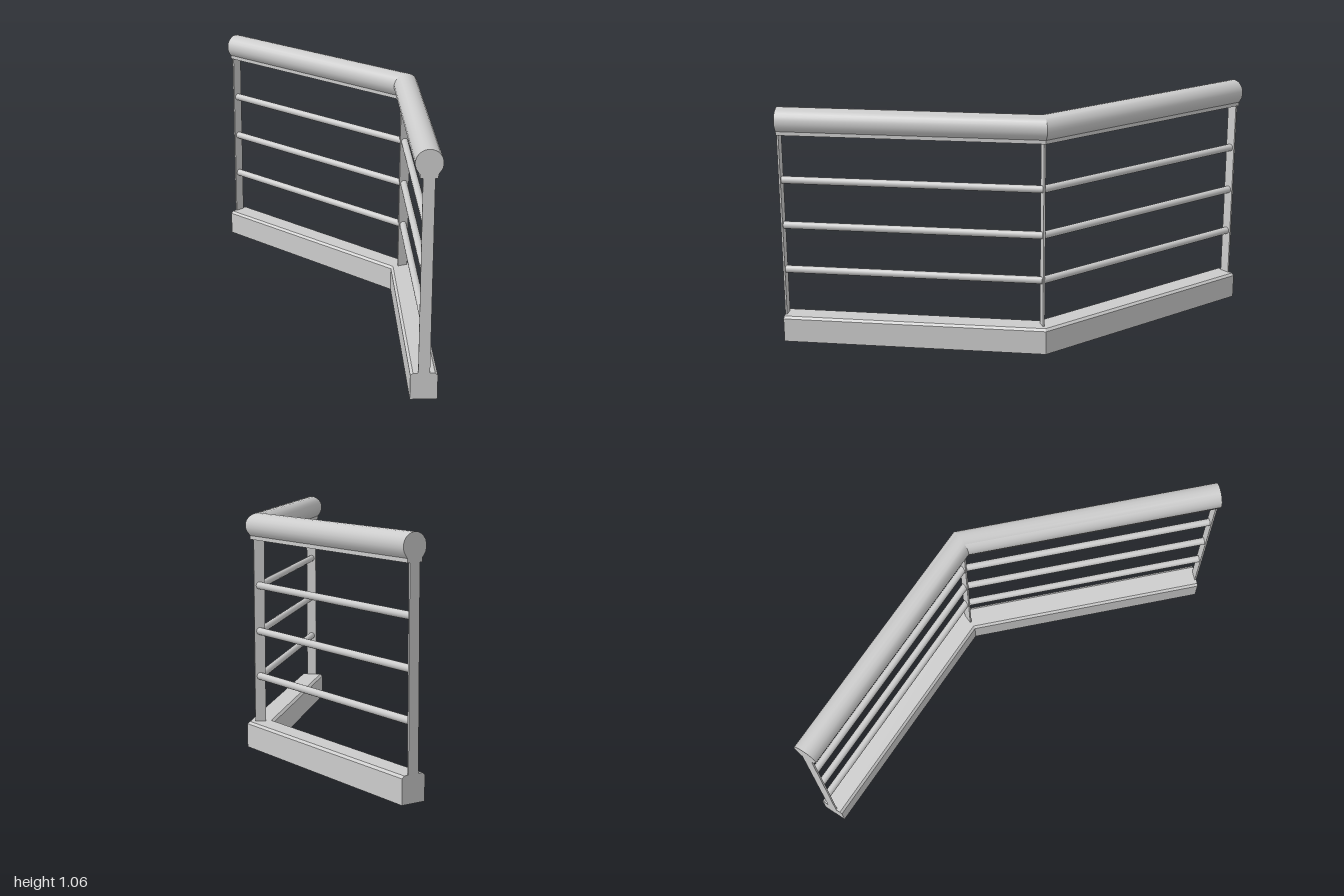
import * as THREE from 'three';
import { toCreasedNormals } from 'three/addons/utils/BufferGeometryUtils.js';

const material = new THREE.MeshStandardMaterial({ color: 0xcccccc });

// Plan of the railing (x, z): a straight leg, then a leg turned by 45 degrees
const path = [[-1, -0.4], [0.144, -0.4], [0.9605, 0.4165]];
const turn = Math.PI / 4;
// Sideways direction at each path point, mitred at the corner
const sides = [[0, -1], [Math.tan(turn / 2), -1], [Math.SQRT1_2, -Math.SQRT1_2]];

// Sweep a cross-section (sideways, up) along the mitred path
function sweep(name, points) {
  const shape = new THREE.Shape(points.map(([u, y]) => new THREE.Vector2(u, y)));
  const geometry = new THREE.ExtrudeGeometry(shape, { depth: 2, steps: 2, bevelEnabled: false });
  const pos = geometry.attributes.position;
  for (let i = 0; i < pos.count; i++) {
    const u = pos.getX(i);
    const k = Math.round(pos.getZ(i));
    pos.setXYZ(i, path[k][0] + sides[k][0] * u, pos.getY(i), path[k][1] + sides[k][1] * u);
  }
  const mesh = new THREE.Mesh(toCreasedNormals(geometry, 0.5), material);
  mesh.name = name;
  return mesh;
}

export function createModel() {
  const group = new THREE.Group();
  group.name = 'cornerRailing';

  // Base kerb with chamfered top edges
  group.add(sweep('base', [
    [-0.056, 0], [0.056, 0], [0.056, 0.107], [0.045, 0.117], [-0.045, 0.117], [-0.056, 0.107],
  ]));

  // Round handrail on a narrow neck
  const rail = [[-0.036, 0.946], [0.036, 0.946], [0.036, 0.963]];
  for (let i = 0; i <= 16; i++) {
    const a = THREE.MathUtils.degToRad(-40 + (260 * i) / 16);
    rail.push([0.056 * Math.cos(a), 1.008 + 0.056 * Math.sin(a)]);
  }
  rail.push([-0.036, 0.963]);
  group.add(sweep('handrail', rail));

  // Thin flat posts at both ends and at the corner
  const thickness = 0.008;
  ['leftPost', 'cornerPost', 'rightPost'].forEach((name, i) => {
    const angle = (i * turn) / 2;
    const inset = ((1 - i) * thickness) / 2;
    const post = new THREE.Mesh(new THREE.BoxGeometry(thickness, 0.84, 0.048), material);
    post.position.set(
      path[i][0] + inset * Math.cos(angle), 0.531, path[i][1] + inset * Math.sin(angle));
    post.rotation.y = -angle;
    post.name = name;
    group.add(post);
  });

  // Three horizontal rods on each leg
  for (let leg = 0; leg < 2; leg++) {
    const [ax, az] = path[leg];
    const [bx, bz] = path[leg + 1];
    const length = Math.hypot(bx - ax, bz - az) - 0.004;
    const shift = leg === 0 ? 0.002 : -0.002;
    const angle = leg * turn;
    for (const y of [0.325, 0.531, 0.738]) {
      const geometry = new THREE.CylinderGeometry(0.0165, 0.0165, length, 16).rotateZ(Math.PI / 2);
      const rod = new THREE.Mesh(geometry, material);
      rod.position.set(
        (ax + bx) / 2 + shift * Math.cos(angle), y, (az + bz) / 2 + shift * Math.sin(angle));
      rod.rotation.y = -angle;
      rod.name = leg === 0 ? 'straightRod' : 'angledRod';
      group.add(rod);
    }
  }
  return group;
}
